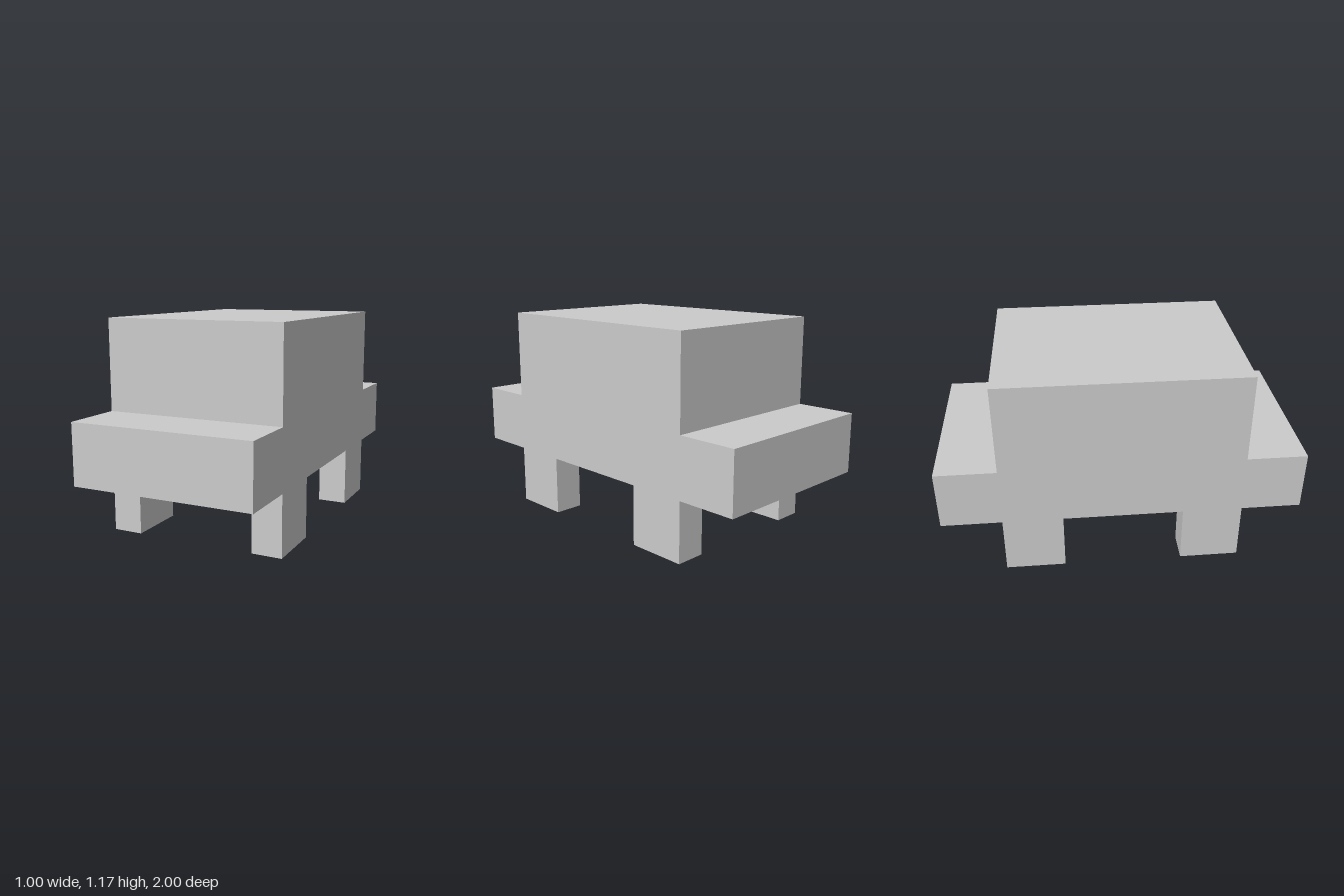
import * as THREE from 'three';

const WIDTH = 1;
const FLOOR = 1 / 3;      // underside of the body
const DECK = 2 / 3;       // top of hood and trunk
const ROOF = 7 / 6;
const CABIN = 2 / 3;      // half length of the cabin
const WHEEL = { width: 1 / 6, length: 1 / 3 };

export function createModel() {
  const group = new THREE.Group();
  const material = new THREE.MeshStandardMaterial({ color: 0xcccccc, flatShading: true });

  // Body: stepped side profile (hood, cabin, trunk) extruded across the width
  const profile = new THREE.Shape([
    [-1, FLOOR], [1, FLOOR], [1, DECK], [CABIN, DECK],
    [CABIN, ROOF], [-CABIN, ROOF], [-CABIN, DECK], [-1, DECK],
  ].map(([z, y]) => new THREE.Vector2(z, y)));
  const bodyGeometry = new THREE.ExtrudeGeometry(profile, { depth: WIDTH, bevelEnabled: false });
  bodyGeometry.translate(0, 0, -WIDTH / 2).rotateY(-Math.PI / 2);
  const body = new THREE.Mesh(bodyGeometry, material);
  body.name = 'body';
  group.add(body);

  // Four block wheels, flush with the sides
  const wheelGeometry = new THREE.BoxGeometry(WHEEL.width, FLOOR, WHEEL.length);
  for (const [side, sx] of [['Left', 1], ['Right', -1]]) {
    for (const [end, sz] of [['front', 1], ['back', -1]]) {
      const wheel = new THREE.Mesh(wheelGeometry, material);
      wheel.name = `${end}${side}Wheel`;
      wheel.position.set(sx * (WIDTH - WHEEL.width) / 2, FLOOR / 2, sz * (CABIN - WHEEL.length / 2));
      group.add(wheel);
    }
  }
  return group;
}
